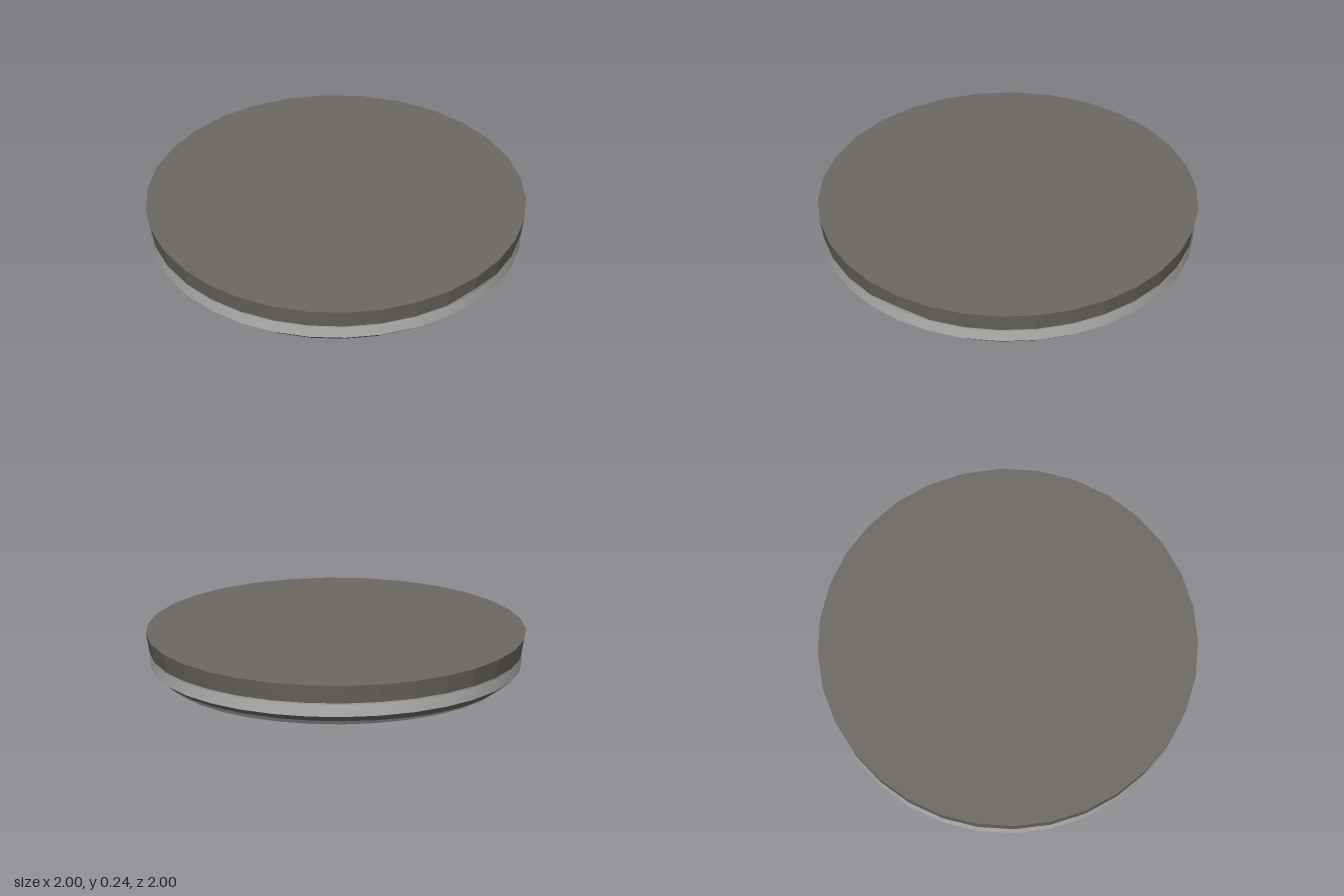
import * as THREE from 'three';

const SIDES = 32;
const stone = new THREE.MeshStandardMaterial({ color: 0x6c6762 });
stone.name = 'warm dark grey';
const pale = new THREE.MeshStandardMaterial({ color: 0xb8b8b7 });
pale.name = 'pale grey';
const base = new THREE.MeshStandardMaterial({ color: 0xa8a8a8 });
base.name = 'base grey';

// Outline of the disc as [radius, height], from the base up
const PROFILE = [[0.89, 0], [0.975, 0.065], [0.978, 0.132], [1, 0.243]];

function radiusAt(y) {
  for (let i = 1; i < PROFILE.length; i++) {
    const [r0, y0] = PROFILE[i - 1];
    const [r1, y1] = PROFILE[i];
    if (y <= y1) return r0 + (r1 - r0) * (y - y0) / (y1 - y0);
  }
  return 1;
}

// Ring of faces between two heights, each a function of the side number
function band(name, low, high, material, faceted) {
  const positions = [];
  const indices = [];
  for (let i = 0; i < SIDES; i++) {
    const a = i / SIDES * Math.PI * 2;
    for (const y of [low(i, a), high(i, a)]) {
      const r = radiusAt(y);
      positions.push(r * Math.sin(a), y, r * Math.cos(a));
    }
    const p = i * 2;
    const q = ((i + 1) % SIDES) * 2;
    indices.push(p, q, q + 1, p, q + 1, p + 1);
  }
  let geometry = new THREE.BufferGeometry();
  geometry.setAttribute('position', new THREE.Float32BufferAttribute(positions, 3));
  geometry.setIndex(indices);
  if (faceted) geometry = geometry.toNonIndexed();
  geometry.computeVertexNormals();
  const mesh = new THREE.Mesh(geometry, material);
  mesh.name = name;
  return mesh;
}

function cap(name, radius, y, up, material) {
  const geometry = new THREE.CircleGeometry(radius, SIDES);
  geometry.rotateX(up ? -Math.PI / 2 : Math.PI / 2);
  const mesh = new THREE.Mesh(geometry, material);
  mesh.position.y = y;
  mesh.name = name;
  return mesh;
}

export function createModel() {
  const group = new THREE.Group();
  group.name = 'disc';
  const level = (y) => () => y;

  // Uneven colour borders on the lower bevel and under the rim
  const bevelBorder = (i, a) => 0.0165 + 0.016 * Math.cos(a - Math.PI * 0.75);
  const rimBorder = (i) => (i === 4 ? 0.158 : 0.141);

  group.add(
    cap('bottomFace', 0.89, 0, false, base),
    band('lowerBevelEdge', level(0), bevelBorder, pale, false),
    band('lowerBevel', bevelBorder, level(0.065), stone, false),
    band('sideBand', level(0.065), level(0.132), pale, false),
    band('rimUnderEdge', level(0.132), rimBorder, pale, false),
    band('rim', rimBorder, level(0.243), stone, true),
    cap('topFace', 1, 0.243, true, stone)
  );
  return group;
}
